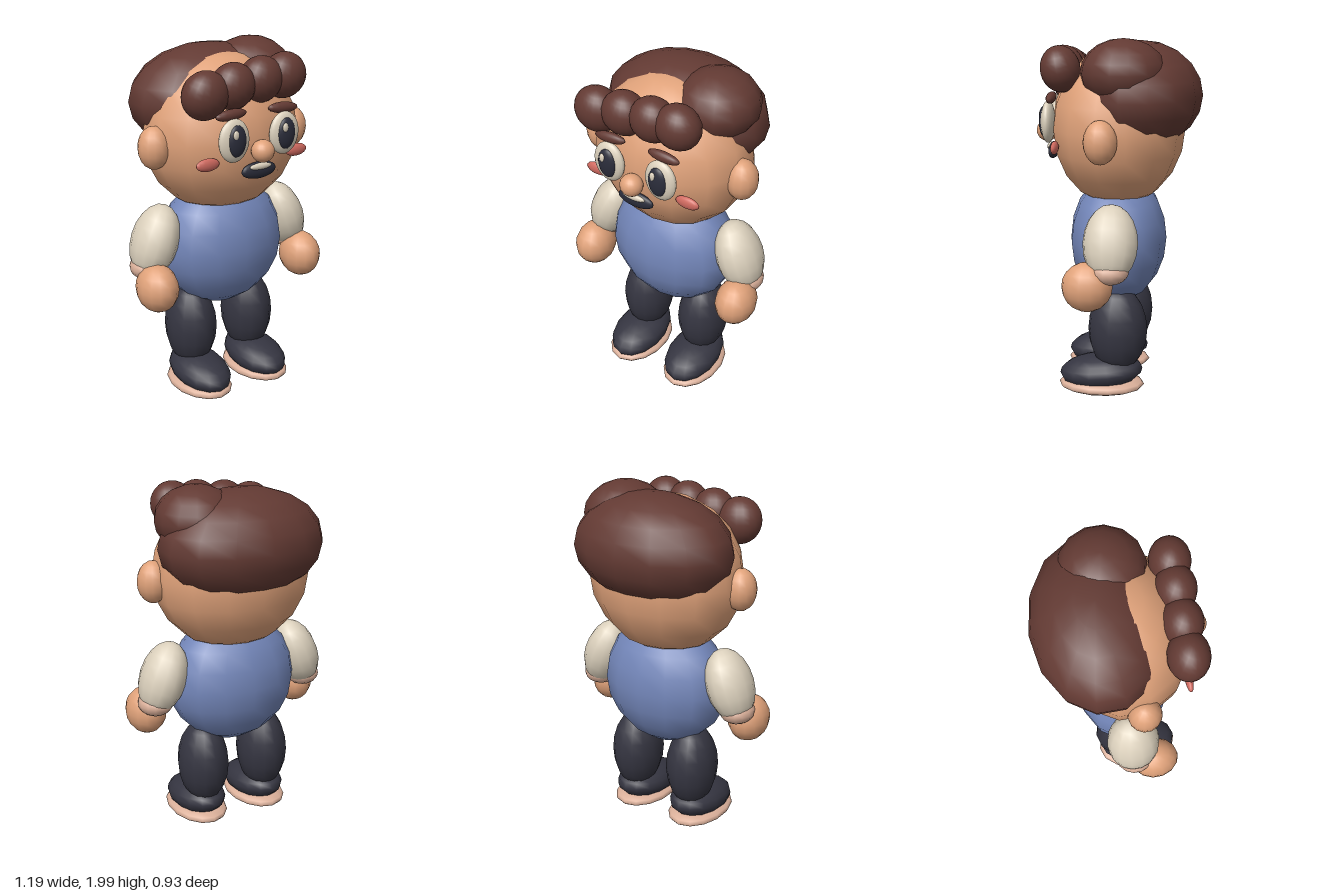
import * as THREE from 'three';

const mat = (name, color) => {
  const m = new THREE.MeshStandardMaterial({ color });
  m.name = name;
  return m;
};

export function createModel() {
  const model = new THREE.Group();
  model.name = 'character';

  const skin = mat('skin', 0xe0a27a);
  const hair = mat('hair brown', 0x633a33);
  const shirt = mat('shirt blue', 0x7386b9);
  const navy = mat('trouser navy', 0x353541);
  const cream = mat('cream', 0xdcd1bd);
  const cheek = mat('cheek pink', 0xd06a60);
  const pale = mat('pale peach', 0xdbb09a);
  const ink = mat('ink', 0x2b2d3b);

  // Coarse smooth ball with vertices on the front and back centre lines
  const ball = new THREE.SphereGeometry(1, 14, 10).rotateY(Math.PI / 2);
  const fineBall = new THREE.SphereGeometry(1, 20, 14);

  function blob(name, material, pos, radii, rot = [0, 0, 0], geometry = ball) {
    const mesh = new THREE.Mesh(geometry, material);
    mesh.name = name;
    mesh.position.set(...pos);
    mesh.scale.set(...radii);
    mesh.rotation.set(...rot);
    model.add(mesh);
    return mesh;
  }

  // Mirrored pair across x = 0
  function pair(name, material, [x, y, z], radii, [rx, ry, rz] = [0, 0, 0], geometry = ball) {
    blob(name + 'Left', material, [x, y, z], radii, [rx, ry, rz], geometry);
    blob(name + 'Right', material, [-x, y, z], radii, [rx, -ry, -rz], geometry);
  }

  // Torso and head
  blob('torso', shirt, [0, 0.87, 0], [0.385, 0.37, 0.273]);
  blob('head', skin, [0, 1.505, 0], [0.457, 0.442, 0.372]);
  pair('ear', skin, [0.45, 1.48, 0.05], [0.088, 0.117, 0.09]);

  // Hair
  blob('hairBack', hair, [0, 1.68, -0.12], [0.475, 0.297, 0.345]);
  blob('hairSideLump', hair, [0.235, 1.82, -0.05], [0.228, 0.18, 0.232]);
  const fringe = [[-0.283, 1.78, 0.13], [-0.115, 1.81, 0.125], [0.06, 1.828, 0.125], [0.212, 1.835, 0.125]];
  fringe.forEach(([x, y, r], i) =>
    blob('fringe' + (i + 1), hair, [x, y, 0.29], [r, r, 0.108], [0.2, 0, -0.15], fineBall));

  // Face
  pair('eyeWhite', cream, [0.16, 1.545, 0.37], [0.093, 0.116, 0.038], [0, 0, 0], fineBall);
  pair('pupil', ink, [0.157, 1.547, 0.393], [0.056, 0.085, 0.027], [0, 0, 0], fineBall);
  for (const x of [-0.175, 0.138])
    blob('eyeGlint', cream, [x, 1.583, 0.413], [0.017, 0.025, 0.01]);
  pair('eyebrow', hair, [0.165, 1.677, 0.35], [0.095, 0.03, 0.026], [0, 0, -0.06]);
  pair('cheek', cheek, [0.285, 1.422, 0.315], [0.071, 0.035, 0.021]);
  blob('nose', skin, [0, 1.475, 0.403], [0.063, 0.061, 0.06], [0, 0, 0], fineBall);
  blob('mouth', ink, [0, 1.365, 0.368], [0.11, 0.046, 0.026], [0, 0, 0], fineBall);
  blob('teeth', cream, [0, 1.389, 0.386], [0.07, 0.018, 0.015]);

  // Arms
  pair('sleeve', cream, [0.43, 0.94, 0], [0.127, 0.21, 0.148], [0, 0, 0.35]);
  pair('wrist', pale, [0.48, 0.80, 0], [0.097, 0.07, 0.105]);
  pair('hand', skin, [0.487, 0.715, 0.118], [0.113, 0.134, 0.137]);

  // Legs and shoes
  pair('leg', navy, [0.195, 0.38, -0.015], [0.144, 0.25, 0.167]);
  pair('shoe', navy, [0.195, 0.13, 0.08], [0.152, 0.097, 0.237], [0.1, 0, 0]);
  pair('sole', pale, [0.197, 0.055, 0.077], [0.163, 0.048, 0.243]);

  // Stand the figure on the ground
  const box = new THREE.Box3().setFromObject(model, true);
  for (const part of model.children) part.position.y -= box.min.y;
  return model;
}
